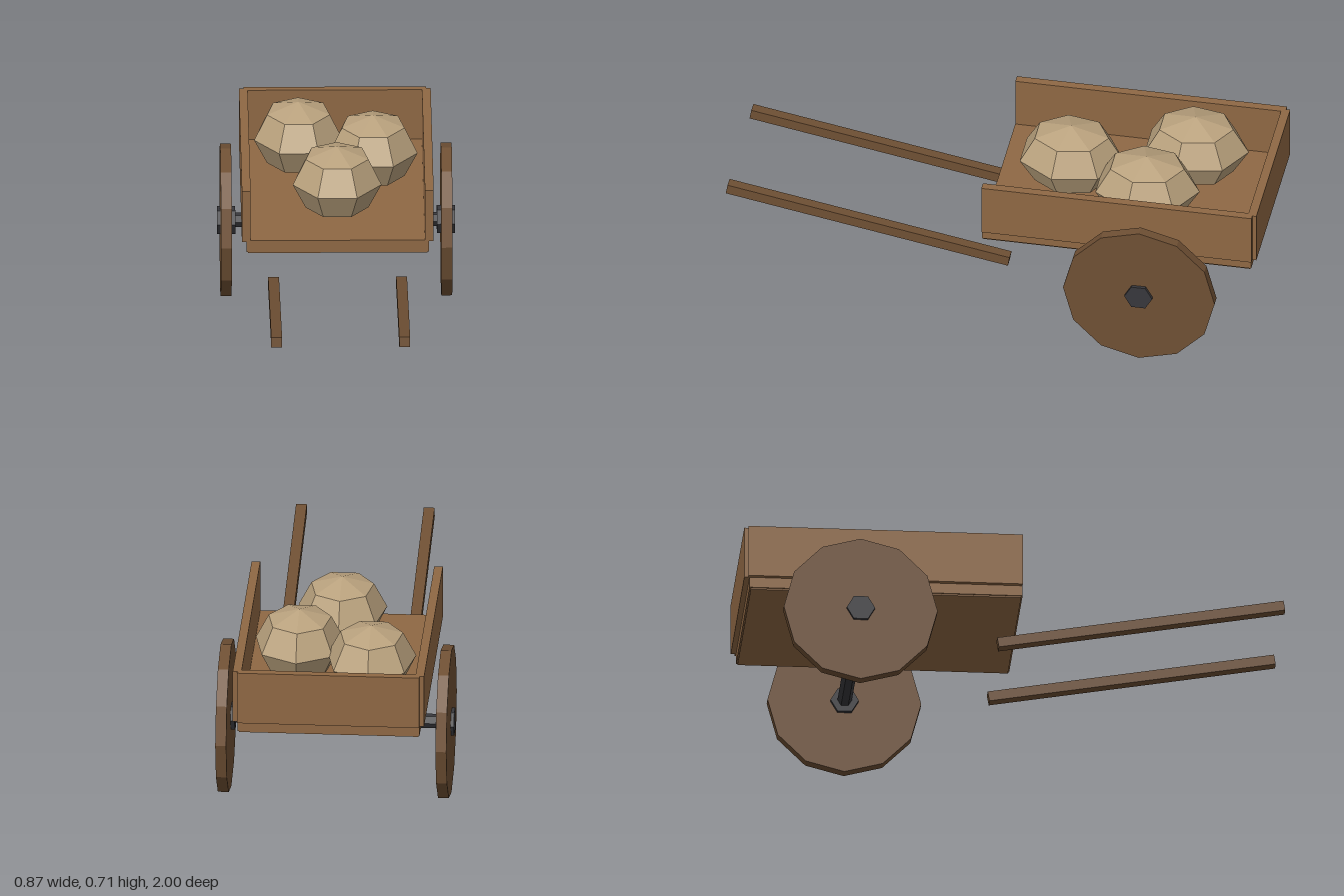
import * as THREE from 'three';

const mat = (color) => new THREE.MeshStandardMaterial({ color, flatShading: true });

export function createModel() {
  const cart = new THREE.Group();
  cart.name = 'handcart';
  const wood = mat(0x8f6844), darkWood = mat(0x6f5034), iron = mat(0x38383c), cloth = mat(0xbaa27e);

  const add = (name, geometry, material, x, y, z) => {
    const mesh = new THREE.Mesh(geometry, material);
    mesh.name = name;
    mesh.position.set(x, y, z);
    cart.add(mesh);
    return mesh;
  };
  const box = (name, w, h, d, x, y, z, material = wood) =>
    add(name, new THREE.BoxGeometry(w, h, d), material, x, y, z);
  // Cylinder lying along x, with a corner pointing along z
  const rod = (name, radius, length, sides, material, x) => {
    const geometry = new THREE.CylinderGeometry(radius, radius, length, sides).rotateZ(Math.PI / 2);
    return add(name, geometry, material, x, 0.285, -0.578);
  };

  // Open-fronted tray
  box('bed', 0.67, 0.045, 1.005, 0, 0.4225, -0.478);
  box('bedUnderside', 0.66, 0.006, 0.995, 0, 0.397, -0.478);
  box('backBoard', 0.67, 0.2, 0.032, 0, 0.54, -0.984);

  // Paired parts
  for (const [side, s] of [['left', 1], ['right', -1]]) {
    box(side + 'SideBoard', 0.032, 0.2, 1.009, s * 0.336, 0.54, -0.4805);
    rod(side + 'Wheel', 0.283, 0.04, 12, darkWood, s * 0.405);
    rod(side + 'Hub', 0.052, 0.067, 6, iron, s * 0.4035);
    const shaft = box(side + 'Shaft', 0.04, 0.038, 1.07, s * 0.235, 0.339, 0.467, darkWood);
    shaft.rotation.x = -THREE.MathUtils.degToRad(10);
  }
  rod('axle', 0.0265, 0.8, 6, iron, 0);

  // Faceted sacks, one corner towards the back
  const sack = new THREE.SphereGeometry(1, 7, 4, -Math.PI / 2).scale(0.167, 0.134, 0.198);
  for (const [x, z] of [[0, -0.245], [0.136, -0.553], [-0.137, -0.685]]) {
    add('sack', sack, cloth, x, 0.574, z);
  }
  return cart;
}
